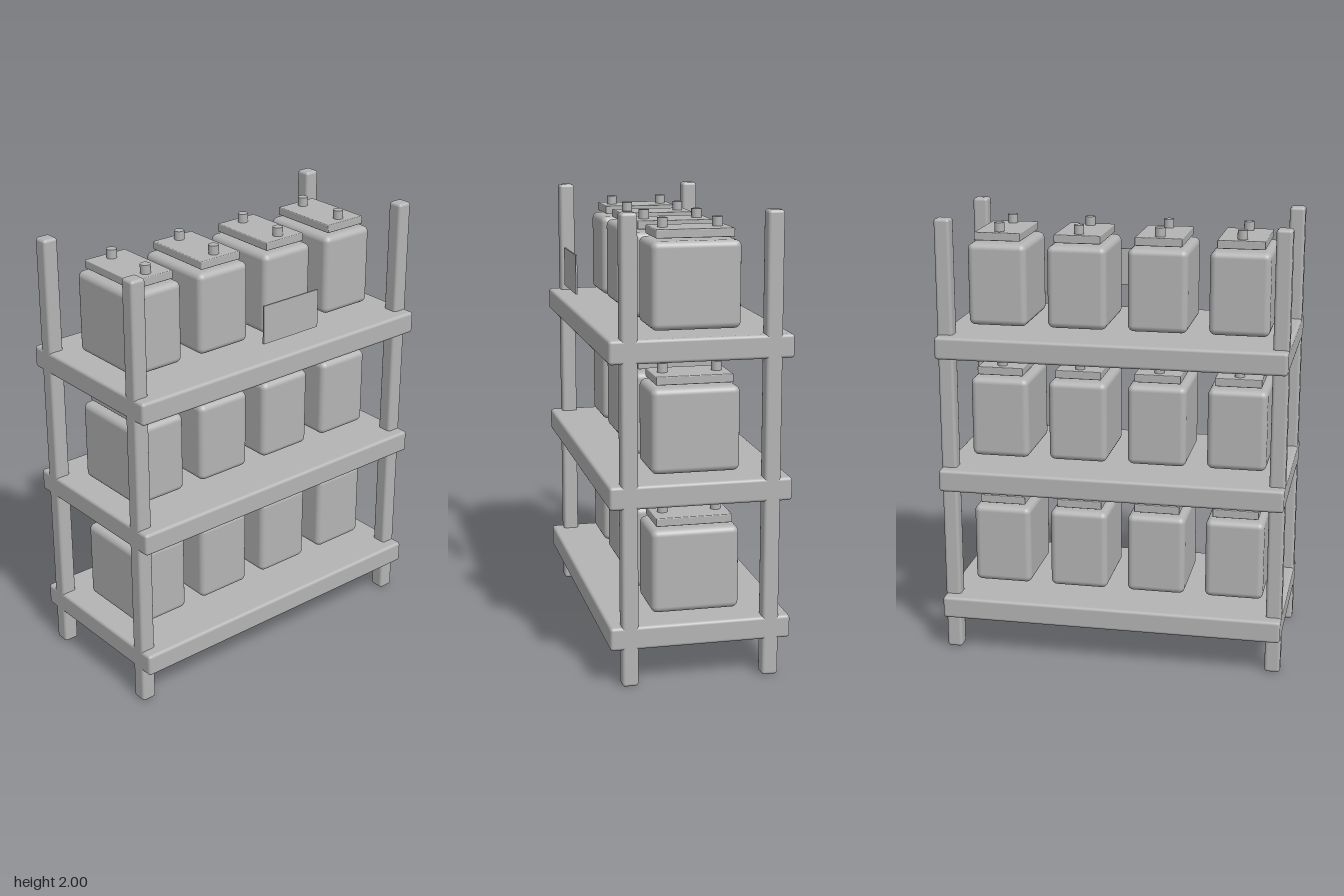
import * as THREE from 'three';
import { RoundedBoxGeometry } from 'three/addons/geometries/RoundedBoxGeometry.js';

const grey = new THREE.MeshStandardMaterial({ color: 0xb4b4b4 });
grey.name = 'neutral grey';

const MID_Z = -0.012;              // centre line of the rack
const SHELF_Y = [0.215, 0.827, 1.438];
const CELL_X = [-0.54, -0.18, 0.18, 0.54];

function add(parent, name, geometry, x, y, z) {
  const mesh = new THREE.Mesh(geometry, grey);
  mesh.name = name;
  mesh.position.set(x, y, z);
  parent.add(mesh);
  return mesh;
}

export function createModel() {
  const model = new THREE.Group();
  model.name = 'batteryRack';

  const postGeo = new RoundedBoxGeometry(0.07, 2, 0.071, 3, 0.014);
  const shelfGeo = new RoundedBoxGeometry(1.548, 0.101, 0.786, 3, 0.014);
  const caseGeo = new RoundedBoxGeometry(0.266, 0.368, 0.384, 4, 0.028);
  const lidGeo = new RoundedBoxGeometry(0.209, 0.037, 0.334, 2, 0.004);
  const terminalGeo = new THREE.CylinderGeometry(0.0225, 0.0225, 0.042, 20);

  // Four corner posts
  for (const x of [-0.739, 0.739])
    for (const dz of [-0.306, 0.306]) add(model, 'post', postGeo, x, 1, MID_Z + dz);

  // One battery: case, lid and two terminals, measured from its shelf centre
  function battery(x, shelfY) {
    const group = new THREE.Group();
    group.name = 'battery';
    group.position.set(x, shelfY, MID_Z);
    add(group, 'batteryCase', caseGeo, 0, 0.248, 0);
    add(group, 'batteryLid', lidGeo, 0, 0.461, 0);
    for (const z of [-0.118, 0.118]) add(group, 'terminal', terminalGeo, 0, 0.498, z);
    return group;
  }

  // Shelves, each with a row of batteries
  for (const y of SHELF_Y) {
    add(model, 'shelf', shelfGeo, 0, y, MID_Z);
    for (const x of CELL_X) model.add(battery(x, y));
  }

  // Thin sign in front of the top row
  add(model, 'signPlate', new THREE.BoxGeometry(0.304, 0.172, 0.007), 0, 1.675, 0.4);

  return model;
}
